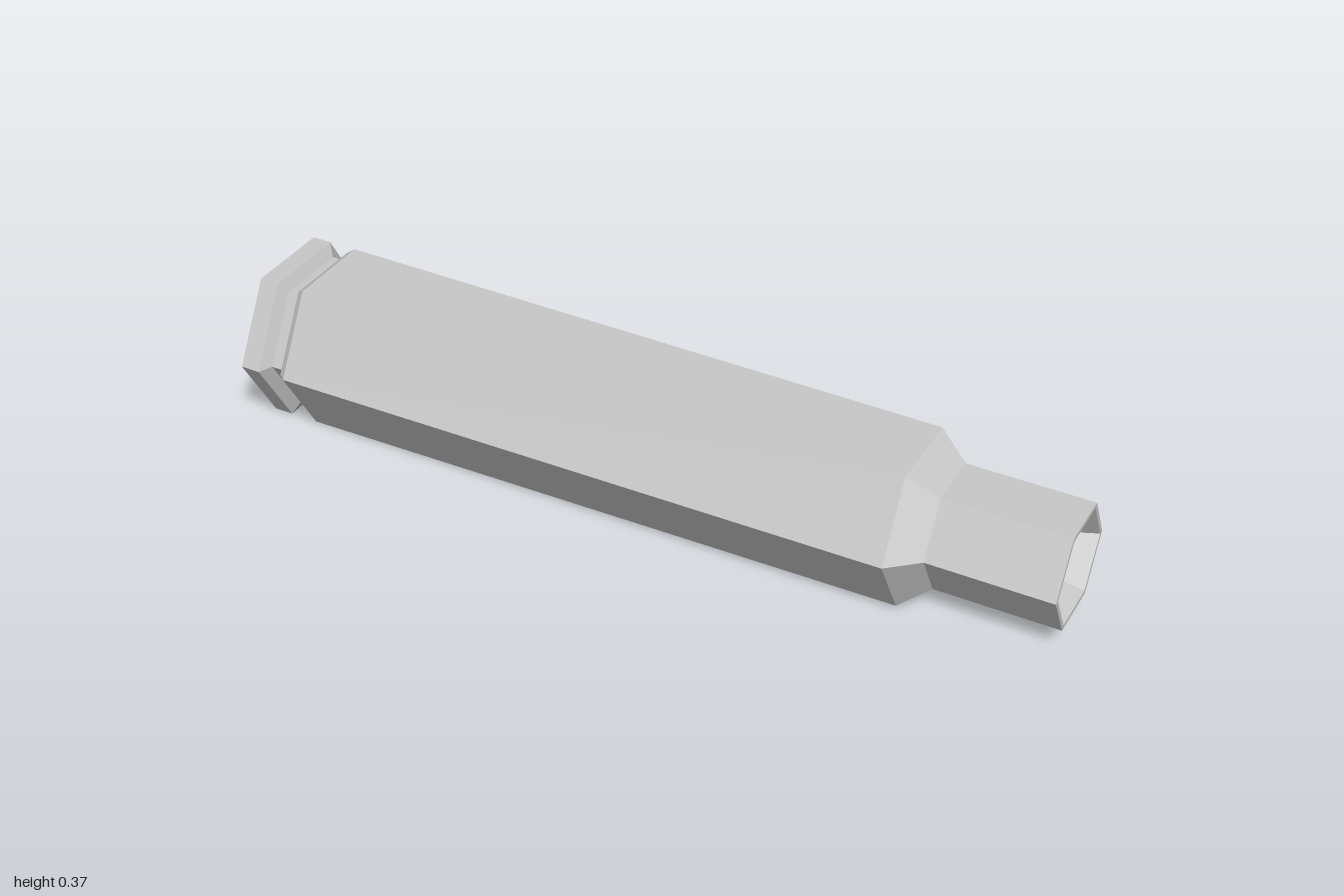
import * as THREE from 'three';

const CENTRE_Y = 0.186;

export function createModel() {
  const group = new THREE.Group();
  group.name = 'casing';
  const metal = new THREE.MeshStandardMaterial({ color: 0xc8c8c8 });
  metal.name = 'grey metal';

  // Six-sided turned part along x, from [x, corner radius] pairs, with flat faces
  const turned = (name, profile) => {
    const points = profile.map(([x, r]) => new THREE.Vector2(r, x));
    const geometry = new THREE.LatheGeometry(points, 6).toNonIndexed();
    geometry.rotateZ(-Math.PI / 2);
    geometry.computeVertexNormals();
    const mesh = new THREE.Mesh(geometry, metal);
    mesh.name = name;
    mesh.position.y = CENTRE_Y;
    group.add(mesh);
  };

  // Flat closed base with its rim
  turned('baseRim', [[-1, 0], [-1, 0.214], [-0.952, 0.214]]);
  // Recessed groove between rim and body
  turned('extractorGroove', [[-0.952, 0.214], [-0.936, 0.181], [-0.9, 0.181], [-0.9, 0.2], [-0.882, 0.214]]);
  // Long, slightly tapered body
  turned('body', [[-0.882, 0.214], [0.636, 0.201]]);
  turned('shoulder', [[0.636, 0.201], [0.706, 0.141]]);
  turned('neck', [[0.706, 0.141], [1, 0.141]]);
  // Lip and pointed hollow
  turned('mouth', [[1, 0.141], [1, 0.129], [0.7, 0]]);

  return group;
}
